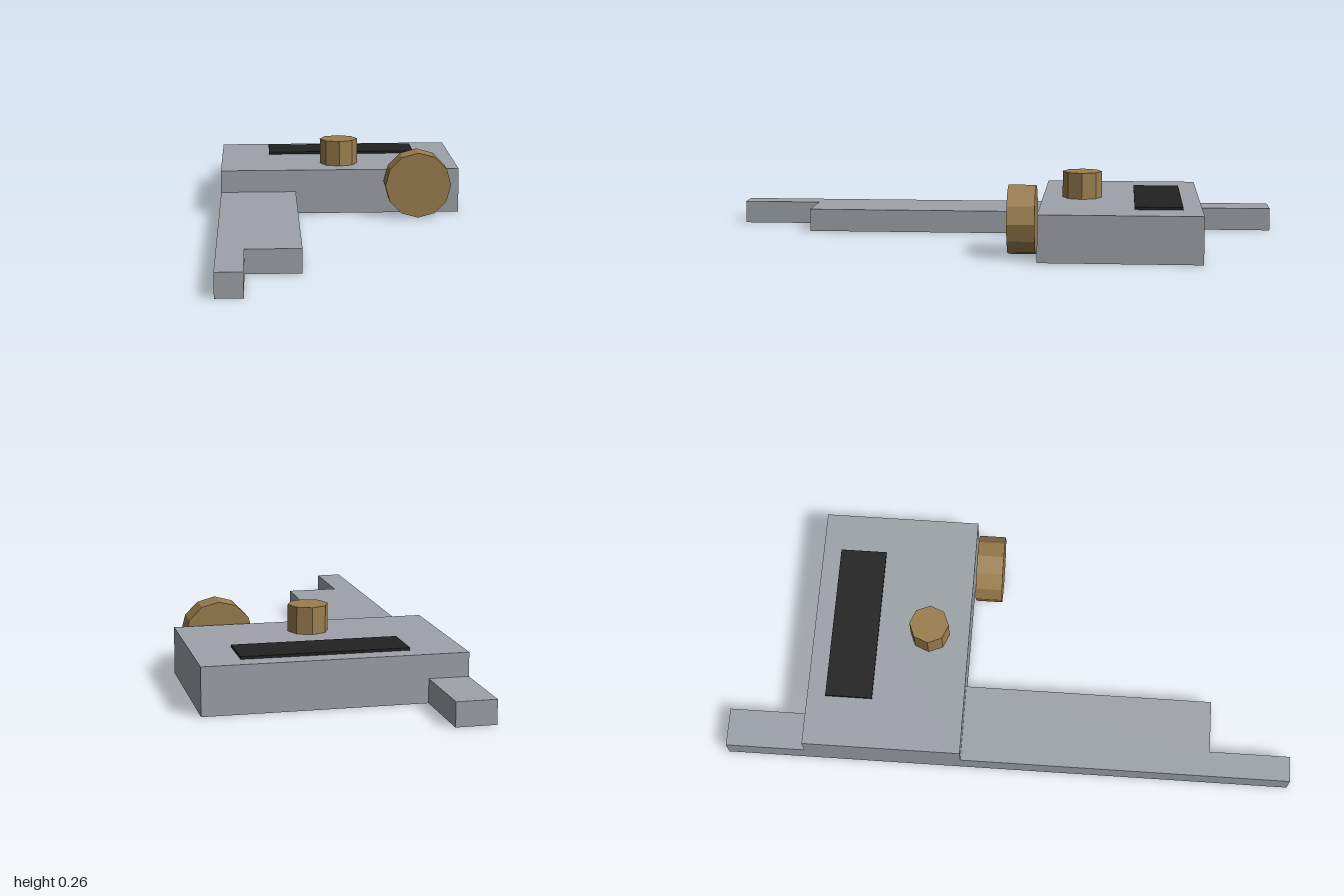
import * as THREE from 'three';

const mat = (name, color) => {
  const m = new THREE.MeshStandardMaterial({ color });
  m.name = name;
  m.flatShading = true;
  return m;
};

export function createModel() {
  const group = new THREE.Group();
  const steel = mat('steelGrey', 0x9ea3a9);
  const brass = mat('brass', 0x9b7e4e);
  const black = mat('displayBlack', 0x222222);

  const add = (name, geometry, material, x = 0, y = 0, z = 0) => {
    const mesh = new THREE.Mesh(geometry, material);
    mesh.name = name;
    mesh.position.set(x, y, z);
    group.add(mesh);
    return mesh;
  };
  // Box given by its extents on each axis
  const block = (name, material, [x0, x1], [y0, y1], [z0, z1]) =>
    add(name, new THREE.BoxGeometry(x1 - x0, y1 - y0, z1 - z0), material,
      (x0 + x1) / 2, (y0 + y1) / 2, (z0 + z1) / 2);

  // Housing with its rear tab and raised display
  block('housing', steel, [-0.44, 0.44], [0, 0.163], [-0.72, -0.165]);
  block('rearTab', steel, [-0.44, -0.305], [0, 0.082], [-1, -0.72]);
  block('display', black, [-0.26, 0.3], [0.163, 0.172], [-0.655, -0.49]);

  // Stepped arm: plan outline (x, z) raised to its thickness
  const outline = [[-0.44, -0.165], [-0.165, -0.165], [-0.165, 0.715],
    [-0.35, 0.715], [-0.35, 1], [-0.44, 1]];
  const arm = new THREE.Shape(outline.map(([x, z]) => new THREE.Vector2(x, -z)));
  add('steppedArm', new THREE.ExtrudeGeometry(arm, { depth: 0.082, bevelEnabled: false })
    .rotateX(-Math.PI / 2), steel);

  // Upright knob on top and thumb wheel in front
  add('topKnob', new THREE.CylinderGeometry(0.07, 0.07, 0.093, 8), brass, 0, 0.2095, -0.305);
  add('thumbWheel', new THREE.CylinderGeometry(0.12, 0.12, 0.095, 12).rotateX(Math.PI / 2),
    brass, 0.28, 0.122, -0.107);

  return group;
}
